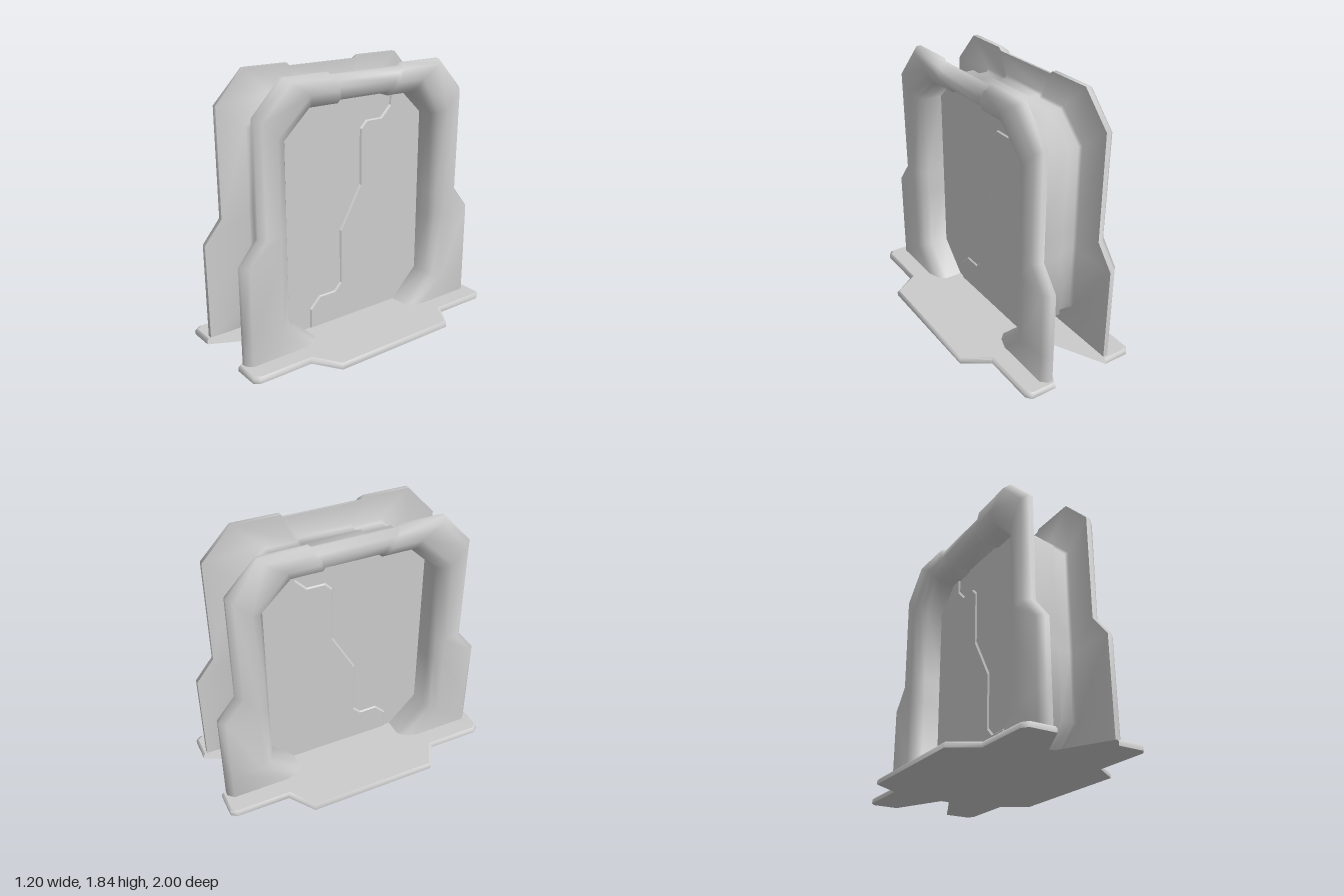
import * as THREE from 'three';
import { toCreasedNormals } from 'three/addons/utils/BufferGeometryUtils.js';

// The shells are open, so both sides show
const material = new THREE.MeshStandardMaterial({ color: 0xcccccc, side: THREE.DoubleSide });

// Grid surface through rows of [x, y, z] points; faces row direction x column direction
function loft(rows) {
  const n = rows[0].length, index = [];
  for (let i = 0; i < rows.length - 1; i++) {
    for (let j = 0; j < n - 1; j++) {
      const a = i * n + j, b = a + n;
      index.push(a, b, a + 1, b, b + 1, a + 1);
    }
  }
  const g = new THREE.BufferGeometry();
  g.setAttribute('position', new THREE.Float32BufferAttribute(rows.flat(2), 3));
  g.setIndex(index);
  return g;
}

function flip(g) {
  g.index.array.reverse();
  return g;
}

const mirrorX = (g) => flip(g.scale(-1, 1, 1));

function polygon(points) {
  return new THREE.ShapeGeometry(new THREE.Shape(points.map(([a, b]) => new THREE.Vector2(a, b))));
}

function add(group, name, geometry, crease = 0.9) {
  const mesh = new THREE.Mesh(toCreasedNormals(geometry, crease), material);
  mesh.name = name;
  group.add(mesh);
}

// Half of the arch, front bottom to top centre:
// opening [z, y], outward direction [z, y], outer rim [z, y], outer face x
const half = [
  [[0.40, 0.04], [1.414, 0], [0.97, 0.04], 0.285],
  [[0.61, 0.25], [1, -0.414], [0.97, 0.25], 0.285],
  [[0.61, 0.71], [1, 0], [0.97, 0.71], 0.285],
  [[0.61, 0.87], [1, 0], [0.84, 0.87], 0.285],
  [[0.61, 1.45], [1, 0.414], [0.84, 1.62], 0.285],
  [[0.42, 1.63], [0.414, 1], [0.63, 1.84], 0.285],
  [[0.205, 1.63], [0.45, 1], [0.30, 1.84], 0.285],
  [[0.195, 1.65], [0.35, 1], [0.28, 1.82], 0.27],
];
const mirrorZ = ([z, y]) => [-z, y];
const stations = [
  ...half,
  ...half.slice().reverse().map(([p, d, q, x]) => [mirrorZ(p), mirrorZ(d), mirrorZ(q), x]),
];
const offset = ([p, d], t) => [p[0] + d[0] * t, p[1] + d[1] * t];
const toRow = (points) => points.map(([x, [z, y]]) => [x, y, z]);

// Cross-section of a side frame, from the panel edge out to the rim
function frameRow(station) {
  const [p, , q, x] = station;
  const k = 0.04 / Math.hypot(q[0] - p[0], q[1] - p[1]);
  const shoulder = [q[0] + (p[0] - q[0]) * k, q[1] + (p[1] - q[1]) * k];
  return toRow([
    [0.08, offset(station, 0)], [0.21, offset(station, 0)], [0.255, offset(station, 0.03)],
    [x, offset(station, 0.09)], [x, shoulder], [x - 0.04, q], [0.213, q],
  ]);
}

// Cross-section of the channel between the frames: wall, floor with raised middle, wall
function channelRow(station) {
  const side = toRow([
    [0.213, station[2]], [0.211, offset(station, 0.022)], [0.195, offset(station, 0.004)],
    [0.11, offset(station, 0.004)], [0.085, offset(station, 0.032)],
  ]);
  return [...side, ...side.slice().reverse().map(([x, y, z]) => [-x, y, z])];
}

// Stepped seam across each side panel, bottom to top [z, y]
const seam = [
  [0.343, 0.04], [0.343, 0.175], [0.265, 0.254], [0.137, 0.254], [0.083, 0.308], [0.083, 0.70],
  [-0.088, 1.00], [-0.088, 1.395], [-0.137, 1.445], [-0.265, 1.445], [-0.345, 1.526], [-0.345, 1.63],
];
const seamFront = seam.map(([z, y], i) =>
  [z + 0.009, i === 0 || i === seam.length - 1 ? y : y + 0.008]);

function addPanel(group, name, finish) {
  const opening = stations.map((s) => s[0]);
  const front = opening.filter(([z]) => z > -0.3);
  const rear = opening.filter(([z]) => z < -0.3);
  const lowX = 0.08, highX = 0.09;
  const plate = (points, x) => finish(
    polygon(points.map(([z, y]) => [-z, y])).rotateY(Math.PI / 2).translate(x, 0, 0));
  add(group, name + 'FrontPlate', plate([...front, ...seamFront.slice().reverse()], lowX));
  add(group, name + 'RearPlate', plate([...seam, ...rear], highX));
  add(group, name + 'Seam', finish(loft(seam.map(([z, y], i) =>
    [[highX, y, z], [lowX, seamFront[i][1], seamFront[i][0]]]))), 0.3);
}

// Base plate with a V notch at each end and bevelled outer edges
function addBase(group) {
  const quarter = [[0.21, 1], [0.39, 1], [0.42, 0.96], [0.42, 0.58], [0.60, 0.46]];
  const edge = [...quarter, ...quarter.slice().reverse().map(([x, z]) => [x, -z])];
  const bevel = 0.014;
  const inset = edge.map(([x, z]) =>
    [x === 0.21 ? x : x - bevel, z - Math.sign(z) * bevel * (x === 0.6 ? 0.4 : 1)]);
  const outline = (run) => [
    [0.03, 0.64], ...run, [0.03, -0.64], [-0.03, -0.64],
    ...run.slice().reverse().map(([x, z]) => [-x, z]), [-0.03, 0.64],
  ].map(([x, z]) => [x, -z]);
  add(group, 'baseTop', polygon(outline(inset)).rotateX(-Math.PI / 2).translate(0, 0.04, 0));
  add(group, 'baseUnderside', flip(polygon(outline(edge)).rotateX(-Math.PI / 2)));
  const rim = () => loft(edge.map(([x, z], i) =>
    [[x, 0, z], [x, 0.026, z], [inset[i][0], 0.04, inset[i][1]]]));
  add(group, 'baseLeftEdge', rim(), 1.2);
  add(group, 'baseRightEdge', mirrorX(rim()), 1.2);
}

export function createModel() {
  const group = new THREE.Group();
  group.name = 'archedFrame';
  addBase(group);
  add(group, 'channel', loft(stations.map(channelRow)), 2);
  for (const [name, finish] of [['left', (g) => g], ['right', mirrorX]]) {
    add(group, name + 'Frame', finish(loft(stations.map(frameRow))), 2);
    addPanel(group, name + 'Panel', finish);
  }
  return group;
}
